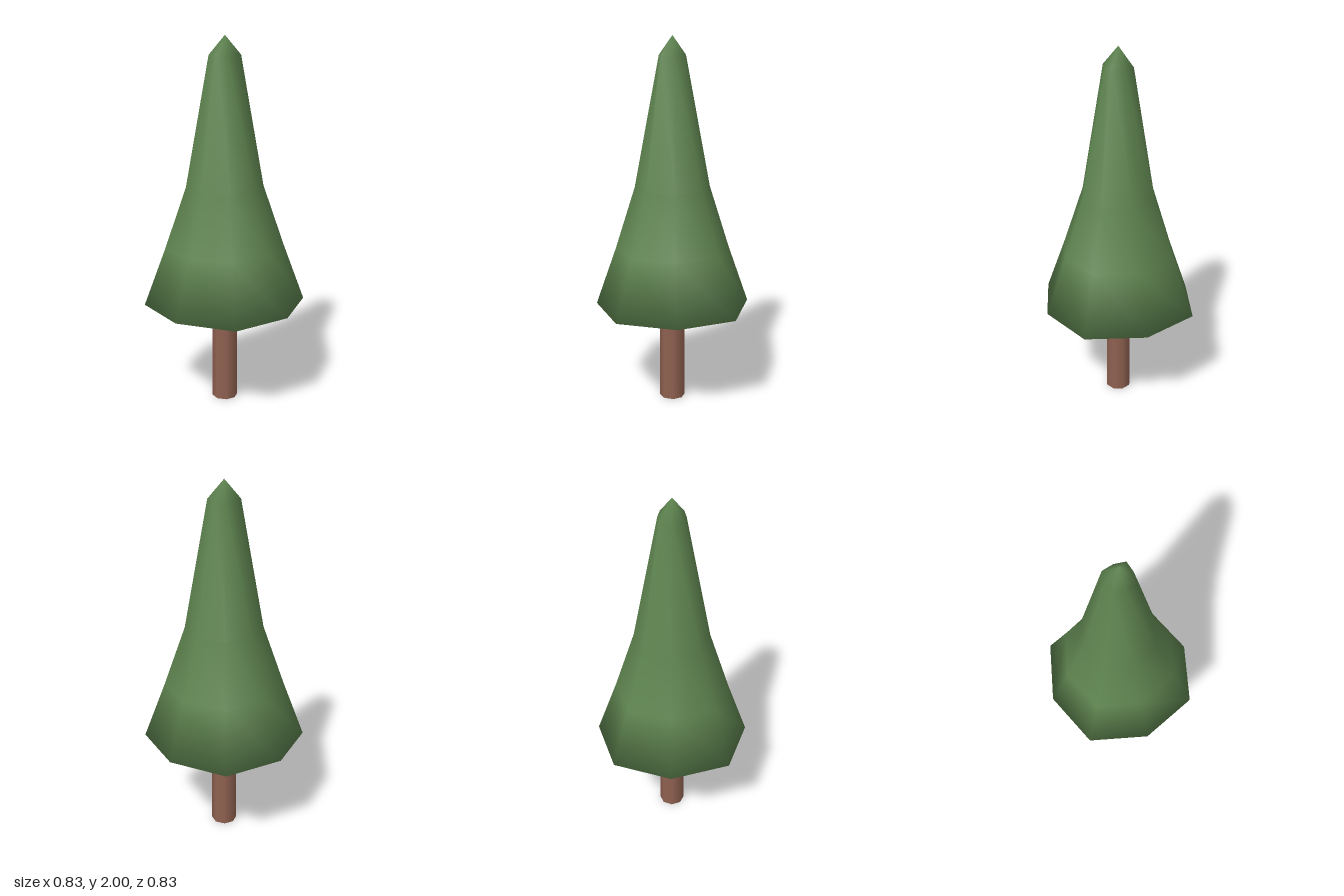
import * as THREE from 'three';
import { mergeVertices } from 'three/addons/utils/BufferGeometryUtils.js';

const SIDES = 8;

// Eight-sided foliage: rings of [axis radius, height, diagonal radius factor].
function foliageGeometry() {
  const rings = [
    [0, 0.547, 1], [0.415, 0.56, 1.06], [0.305, 0.875, 1.06],
    [0.2, 1.21, 1.04], [0.07, 1.9, 1.2], [0, 2, 1],
  ];
  const geo = new THREE.LatheGeometry(rings.map(([r, y]) => new THREE.Vector2(r, y)), SIDES);
  const pos = geo.attributes.position;
  // Push the diagonal corners slightly outward
  for (let i = 0; i < pos.count; i++) {
    const column = Math.floor(i / rings.length);
    const k = column % 2 ? rings[i % rings.length][2] : 1;
    pos.setX(i, pos.getX(i) * k);
    pos.setZ(i, pos.getZ(i) * k);
  }
  // Weld so that shading is smooth all round, including the rim
  geo.deleteAttribute('normal');
  geo.deleteAttribute('uv');
  const welded = mergeVertices(geo);
  welded.computeVertexNormals();
  return welded;
}

export function createModel() {
  const tree = new THREE.Group();
  tree.name = 'tree';

  const foliage = new THREE.Mesh(
    foliageGeometry(), new THREE.MeshStandardMaterial({ color: 0x5f8550 }));
  foliage.name = 'foliage';

  // Trunk runs a little way into the foliage
  const trunk = new THREE.Mesh(
    new THREE.CylinderGeometry(0.068, 0.07, 0.58, SIDES),
    new THREE.MeshStandardMaterial({ color: 0x8f6150 }));
  trunk.name = 'trunk';
  trunk.position.y = 0.29;

  tree.add(foliage, trunk);
  return tree;
}
